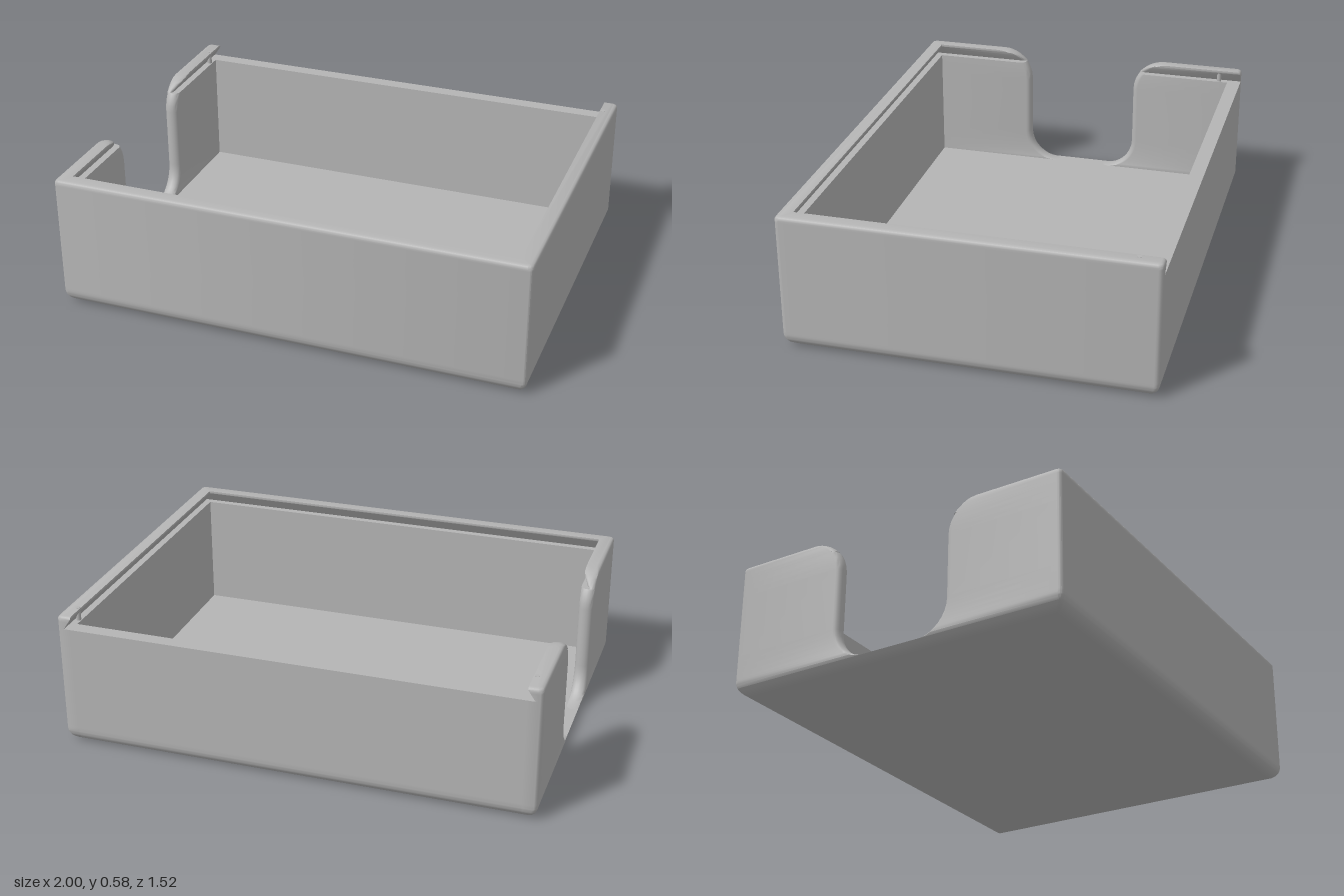
import * as THREE from 'three';
import { toCreasedNormals } from 'three/addons/utils/BufferGeometryUtils.js';

const W = 0.94, D = 0.70;               // inner half width and depth
const WALL = 0.06, FLOOR = 0.03, LEDGE = 0.525, TOP = 0.58;
const BASE_R = 0.06, TOP_R = 0.015, NOTCH_R = 0.14;

// How far the outer face pulls in at height y (rounded base and rim)
function inset(y) {
  if (y < BASE_R) return BASE_R - Math.sqrt(BASE_R ** 2 - (BASE_R - y) ** 2);
  const d = y - (TOP - TOP_R);
  return d > 0 ? TOP_R - Math.sqrt(Math.max(0, TOP_R ** 2 - d * d)) : 0;
}

// Half width of the thumb notch at height y
function notchHalf(y) {
  const low = FLOOR + NOTCH_R, high = TOP - NOTCH_R;
  if (y < low) return 0.11 + Math.sqrt(Math.max(0, NOTCH_R ** 2 - (low - y) ** 2));
  if (y > high) return 0.39 - Math.sqrt(Math.max(0, NOTCH_R ** 2 - (y - high) ** 2));
  return 0.25;
}

// Rows of [height, inner offset]; the dovetail groove sits above the ledge
function makeRows() {
  const ys = [0, 0.002, 0.008, 0.018, FLOOR, 0.045, BASE_R];
  for (let i = 1; i <= 8; i++) {
    const a = (i / 8) * Math.PI / 2;
    ys.push(FLOOR + NOTCH_R * (1 - Math.cos(a)), TOP - NOTCH_R + NOTCH_R * Math.sin(a));
  }
  ys.push(TOP - NOTCH_R, 0.5649, 0.57, 0.576);
  const rows = ys.map((y) => [y, y > LEDGE ? Math.max(0, 0.03 * (0.57 - y) / (0.57 - LEDGE)) : 0]);
  rows.push([LEDGE, 0], [LEDGE, 0.03]);
  return rows.sort((a, b) => a[0] - b[0] || a[1] - b[1]);
}

// Points [offset, distance along wall] going from the outer face to the inner face
function endPoints(kind, half, y, oi) {
  const oo = WALL - inset(y), r = 0.02 * oo / WALL, pts = [];
  if (kind === 'butt') return [[oo, half], [oi, half]];
  if (kind === 'notch') {
    for (let i = 0; i <= 8; i++) {
      const s = -Math.cos((i / 8) * Math.PI);
      const bulge = 0.025 * (1 - Math.sqrt(Math.max(0, 1 - s * s)));
      pts.push([oo + (oi - oo) * (s + 1) / 2, -(notchHalf(y) + bulge)]);
    }
    return pts;
  }
  const mitre = kind === 'mitre';
  const t = half + oo, sweep = mitre ? Math.PI / 4 : Math.PI / 2;
  for (let i = 0; i <= 4; i++) {
    const a = (i / 4) * sweep;
    pts.push([oo - r + r * Math.cos(a), t - r + r * Math.sin(a)]);
  }
  pts.push([oi, mitre ? half + oi : t]);
  return pts;
}

// Wall lofted through horizontal loops, closed on top, facing +x before turning
function wallGeometry(inner, half, endPlus, endMinus, rows, turn) {
  const loops = rows.map(([y, oi]) => {
    const plus = endPoints(endPlus, half, y, oi);
    const minus = endPoints(endMinus, half, y, oi).reverse().map(([o, t]) => [o, -t]);
    return [...plus, ...minus].map(([o, t]) => [inner + o, y, t]);
  });
  const n = loops[0].length, pos = [], index = [];
  loops.forEach((loop) => loop.forEach((p) => pos.push(...p)));
  for (let i = 0; i < loops.length - 1; i++) {
    for (let j = 0; j < n; j++) {
      const k = (j + 1) % n, a = i * n + j, b = i * n + k;
      index.push(a, a + n, b, b, a + n, b + n);
    }
  }
  const last = loops[loops.length - 1], start = (loops.length - 1) * n;
  const flat = last.map((p) => new THREE.Vector2(p[0], -p[2]));
  for (const [a, b, c] of THREE.ShapeUtils.triangulateShape(flat, [])) {
    const up = THREE.ShapeUtils.area([flat[a], flat[b], flat[c]]) > 0;
    index.push(start + a, start + (up ? b : c), start + (up ? c : b));
  }
  const geo = new THREE.BufferGeometry();
  geo.setAttribute('position', new THREE.Float32BufferAttribute(pos, 3));
  geo.setIndex(index);
  geo.rotateY(turn);
  return toCreasedNormals(geo.toNonIndexed(), 0.6);
}

export function createModel() {
  const group = new THREE.Group();
  const grey = new THREE.MeshStandardMaterial({ color: 0xb4b4b4 });
  grey.name = 'plain grey';
  const add = (name, geo) => {
    const mesh = new THREE.Mesh(geo, grey);
    mesh.name = name;
    group.add(mesh);
    return mesh;
  };

  const rows = makeRows();
  const lower = rows.filter((r) => r[0] <= FLOOR);
  const upper = rows.filter((r) => r[0] >= FLOOR);
  const backRows = rows.filter((r) => r[0] <= LEDGE && r[1] === 0);

  // Floor
  add('floor', new THREE.BoxGeometry(2 * W, FLOOR, 2 * D)).position.y = FLOOR / 2;

  // Grooved walls and the low back wall where the lid slides in
  add('leftWall', wallGeometry(W, D, 'mitre', 'back', rows, 0));
  add('frontWall', wallGeometry(D, W, 'mitre', 'mitre', rows, -Math.PI / 2));
  add('backWall', wallGeometry(D, W, 'butt', 'butt', backRows, Math.PI / 2));

  // Right wall with the thumb notch
  add('rightWallSill', wallGeometry(W, D, 'back', 'mitre', lower, Math.PI));
  add('rightWallBack', wallGeometry(W, D, 'back', 'notch', upper, Math.PI));
  add('rightWallFront', wallGeometry(W, D, 'notch', 'mitre', upper, Math.PI));

  // Small lid catches in the grooves
  for (const side of [-1, 1]) {
    const pin = add('lidCatch', new THREE.CylinderGeometry(0.01, 0.01, 0.056, 12));
    pin.position.set(side * 0.953, LEDGE + 0.028, -0.66);
  }
  return group;
}
